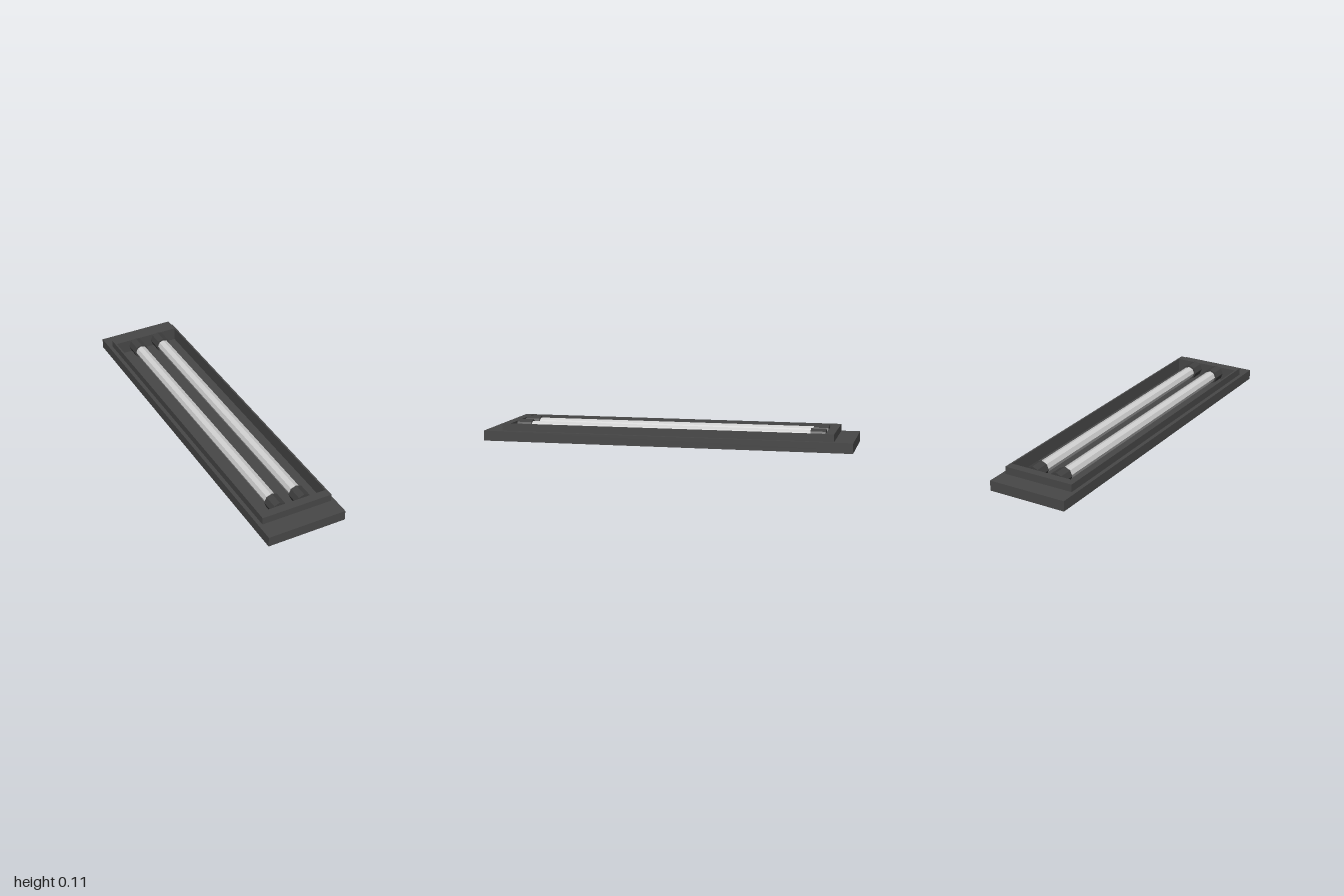
import * as THREE from 'three';

export function createModel() {
  const group = new THREE.Group();
  const material = (name, color) => new THREE.MeshStandardMaterial({ name, color, flatShading: true });
  const housingMat = material('dark grey housing', 0x484848);
  const capMat = material('charcoal caps', 0x404040);
  const tubeMat = material('pale grey tubes', 0xd0d0d0);

  const add = (name, geometry, mat, x, y, z) => {
    const mesh = new THREE.Mesh(geometry, mat);
    mesh.name = name;
    mesh.position.set(x, y, z);
    group.add(mesh);
  };

  // Upright rectangular frame, open in the middle, standing on its lower edge
  const frame = (halfX, halfZ, holeX, holeZ, height) => {
    const corners = (a, b) => [[-a, -b], [a, -b], [a, b], [-a, b]].map(([x, y]) => new THREE.Vector2(x, y));
    const shape = new THREE.Shape(corners(halfX, halfZ));
    shape.holes.push(new THREE.Path(corners(holeX, holeZ).reverse()));
    return new THREE.ExtrudeGeometry(shape, { depth: height, bevelEnabled: false }).rotateX(-Math.PI / 2);
  };

  // Housing: floor plate, wide flange and raised rim around the recess
  const floorY = 0.02, flangeY = 0.055, rimY = 0.095;
  const holeX = 0.187, holeZ = 0.855;
  add('floorPlate', new THREE.BoxGeometry(0.434, floorY, 2), housingMat, 0, floorY / 2, 0);
  add('flange', frame(0.217, 1, holeX, holeZ, flangeY - floorY), housingMat, 0, floorY, 0);
  add('rim', frame(0.196, 0.9, holeX, holeZ, rimY - flangeY), housingMat, 0, flangeY, 0);

  // Two eight-sided lamp tubes, each held by a cap at both ends
  const rod = (radius, length) => new THREE.CylinderGeometry(radius, radius, length, 8).rotateX(Math.PI / 2);
  const tube = rod(0.033, 1.56), cap = rod(0.0425, 0.08);
  for (const [side, x] of [['left', 0.07], ['right', -0.07]]) {
    add(side + 'Tube', tube, tubeMat, x, 0.0625, 0);
    add(side + 'FrontCap', cap, capMat, x, 0.0625, 0.807);
    add(side + 'BackCap', cap, capMat, x, 0.0625, -0.807);
  }
  return group;
}
